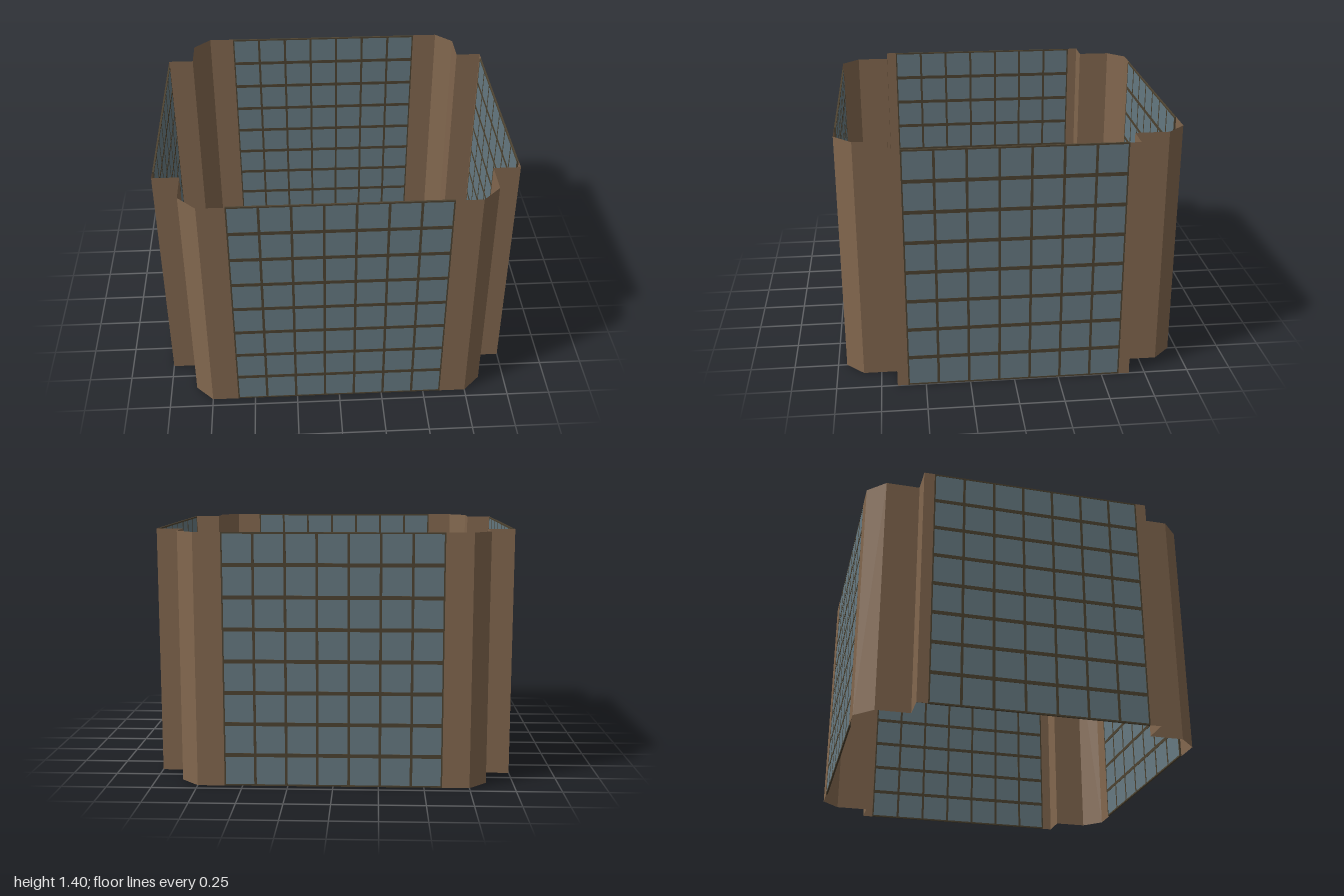
import * as THREE from 'three';

const HEIGHT = 1.4, SPAN = 1.2, DEPTH = 0.01;
const COLS = 7, ROWS = 8;

const brown = new THREE.MeshStandardMaterial({ color: 0x83684f, side: THREE.DoubleSide });
brown.name = 'brown cladding';
const glass = new THREE.MeshStandardMaterial({ color: 0x667a82 });
glass.name = 'blue grey glass';
const frame = new THREE.MeshStandardMaterial({ color: 0x4d4331 });
frame.name = 'dark bronze frame';

function box(name, material, w, h, d, x, y) {
  const mesh = new THREE.Mesh(new THREE.BoxGeometry(w, h, d), material);
  mesh.name = name;
  mesh.position.set(x, y, 0);
  return mesh;
}

// Glazed wall facing +z: one sheet of glass with a grid of bars on both sides
function windowWall(name) {
  const wall = new THREE.Group();
  wall.name = name;
  wall.add(box('glassSheet', glass, SPAN - 0.01, HEIGHT - 0.01, DEPTH * 0.7, 0, HEIGHT / 2));

  for (let i = 0; i <= COLS; i++) {
    const edge = i === 0 ? 1 : i === COLS ? -1 : 0;
    const w = edge ? 0.008 : 0.014;
    const x = -SPAN / 2 + (i * SPAN) / COLS + (edge * w) / 2;
    wall.add(box('verticalBar', frame, w, HEIGHT, DEPTH * 0.96, x, HEIGHT / 2));
  }
  for (let j = 0; j <= ROWS; j++) {
    const edge = j === 0 ? 1 : j === ROWS ? -1 : 0;
    const h = edge ? 0.009 : 0.021;
    const y = (j * HEIGHT) / ROWS + (edge * h) / 2;
    wall.add(box('horizontalBar', frame, SPAN, h, DEPTH, 0, y));
  }
  return wall;
}

// Folded corner sheet: plan profile (x, z) from the front wall round to the side wall
const PROFILE = [
  [0.6, 0.95], [0.75, 0.95], [0.85, 0.85], [0.85, 0.66], [1, 0.66], [1, 0.6],
];

function cornerSheet(name, sx, sz) {
  const points = PROFILE.map(([x, z]) => [x * sx, z * sz]);
  if (sx * sz < 0) points.reverse();
  const positions = [];
  for (let i = 0; i < points.length - 1; i++) {
    const [ax, az] = points[i], [bx, bz] = points[i + 1];
    positions.push(ax, 0, az, bx, 0, bz, bx, HEIGHT, bz);
    positions.push(ax, 0, az, bx, HEIGHT, bz, ax, HEIGHT, az);
  }
  const geometry = new THREE.BufferGeometry();
  geometry.setAttribute('position', new THREE.Float32BufferAttribute(positions, 3));
  geometry.computeVertexNormals();
  const mesh = new THREE.Mesh(geometry, brown);
  mesh.name = name;
  return mesh;
}

export function createModel() {
  const model = new THREE.Group();
  model.name = 'buildingShell';

  // Four glazed walls
  ['frontWall', 'leftWall', 'backWall', 'rightWall'].forEach((name, i) => {
    const wall = windowWall(name);
    const angle = (i * Math.PI) / 2;
    const distance = (i % 2 ? 1 : 0.95) - DEPTH / 2;
    wall.rotation.y = angle;
    wall.position.set(Math.sin(angle) * distance, 0, Math.cos(angle) * distance);
    model.add(wall);
  });

  // Four mirrored corners
  for (const sx of [1, -1]) {
    for (const sz of [1, -1]) {
      const name = (sz > 0 ? 'front' : 'back') + (sx > 0 ? 'Left' : 'Right') + 'Corner';
      model.add(cornerSheet(name, sx, sz));
    }
  }
  return model;
}
